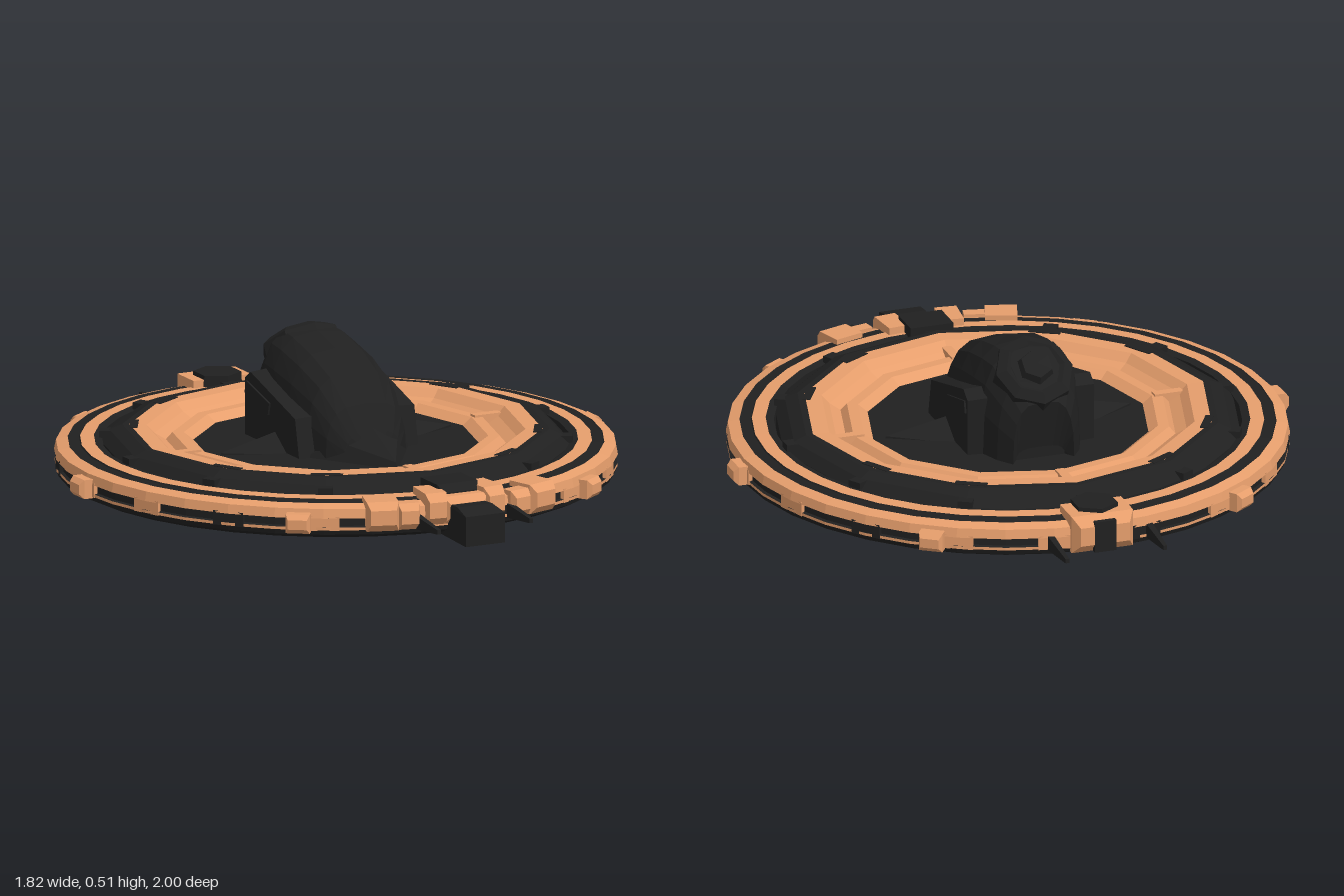
import * as THREE from 'three';
import { ConvexGeometry } from 'three/addons/geometries/ConvexGeometry.js';

const dark = new THREE.MeshStandardMaterial({ color: 0x202020 });
const copper = new THREE.MeshStandardMaterial({ color: 0xe69e6c });
dark.name = 'charcoal';
copper.name = 'copper';

// Faceted mesh with one normal per face
function mesh(name, geometry, material) {
  const g = geometry.index ? geometry.toNonIndexed() : geometry;
  g.computeVertexNormals();
  const m = new THREE.Mesh(g, material);
  m.name = name;
  return m;
}

// Revolved band; the profile runs counterclockwise (outer side going up)
function band(parent, name, material, sides, ...pts) {
  const profile = pts.map(([r, y]) => new THREE.Vector2(r, y));
  parent.add(mesh(name, new THREE.LatheGeometry(profile, sides), material));
}

function box(parent, name, material, w, h, d, x, y, z, ry = 0) {
  const m = mesh(name, new THREE.BoxGeometry(w, h, d), material);
  m.position.set(x, y, z);
  m.rotation.y = ry;
  parent.add(m);
  return m;
}

function hull(parent, name, material, pts) {
  const g = new ConvexGeometry(pts.map(p => new THREE.Vector3(...p)));
  parent.add(mesh(name, g, material));
}

// Chamfered clamp gripping the outer ring at an angle measured from +z
function clamp(parent, name, material, angle, r0, r1, width, y0, y1) {
  const holder = new THREE.Group();
  holder.name = name;
  holder.rotation.y = angle;
  const pts = [], w = width / 2, c = 0.25 * (y1 - y0);
  for (const s of [-1, 1]) {
    pts.push([s * w, y0, r0], [s * w, y1, r0], [s * w, y1, r1 - c],
      [s * w * 0.8, y1 - c, r1], [s * w * 0.8, y0 + c, r1], [s * w, y0, r1 - c]);
  }
  hull(holder, name + 'Body', material, pts);
  parent.add(holder);
}

function outerRing() {
  const g = new THREE.Group(), n = 36;
  g.name = 'outerRing';
  band(g, 'ringUnderside', dark, n, [0.722, 0.172], [0.718, 0.075], [0.83, 0.065], [0.862, 0.08], [0.868, 0.095]);
  band(g, 'lowerRim', copper, n, [0.868, 0.095], [0.868, 0.104]);
  band(g, 'rimGroove', dark, n, [0.868, 0.104], [0.858, 0.107], [0.858, 0.13], [0.87, 0.133]);
  band(g, 'upperRim', copper, n, [0.87, 0.133], [0.864, 0.162], [0.828, 0.172]);
  band(g, 'outerTrack', dark, n, [0.828, 0.172], [0.825, 0.17], [0.793, 0.172], [0.79, 0.176]);
  band(g, 'stripe', copper, n, [0.79, 0.176], [0.747, 0.178]);
  band(g, 'innerTrack', dark, n, [0.747, 0.178], [0.722, 0.172]);

  // Blocks spaced along the rim groove
  for (let i = 0; i < 18; i++) {
    const a = (i + 0.5) * Math.PI / 9;
    box(g, 'rimBlock', i % 3 ? copper : dark, 0.1, 0.045, 0.02,
      0.856 * Math.sin(a), 0.116, 0.856 * Math.cos(a), a);
  }
  // Small lugs
  for (const deg of [35, 90, 145, 215, 270, 325]) {
    clamp(g, 'lug', copper, deg * Math.PI / 180, 0.83, 0.908, 0.075, 0.09, 0.15);
  }
  return g;
}

function saucer() {
  const g = new THREE.Group(), n = 12;
  g.name = 'saucer';
  band(g, 'lowerHull', dark, n, [0.001, 0.03], [0.3, 0.026], [0.32, 0.036], [0.46, 0.032],
    [0.48, 0.042], [0.6, 0.025], [0.64, 0.033], [0.705, 0.07], [0.733, 0.12],
    [0.733, 0.165], [0.7, 0.195], [0.66, 0.212], [0.638, 0.212]);
  band(g, 'crown', copper, n, [0.638, 0.212], [0.585, 0.21],
    [0.56, 0.185], [0.525, 0.165], [0.505, 0.188], [0.47, 0.188], [0.44, 0.165]);
  band(g, 'floor', dark, n, [0.44, 0.165], [0.001, 0.165]);
  // Ribs across the crown channel, joints to the outer ring, and crown notches
  for (let i = 0; i < 12; i++) {
    const a = i * Math.PI / 6, s = Math.sin(a), c = Math.cos(a);
    if (i % 3 === 0) box(g, 'rib', copper, 0.03, 0.03, 0.11, 0.53 * s, 0.18, 0.53 * c, a);
    else box(g, 'crownNotch', dark, 0.1, 0.02, 0.025, 0.623 * s, 0.204, 0.623 * c, a);
    box(g, 'joint', dark, 0.045, 0.05, 0.06, 0.7 * s, 0.17, 0.7 * c, a);
  }
  // Small vents under the rear half
  for (const s of [-1, 1]) {
    const a = Math.PI + s * 0.64;
    box(g, 'vent', copper, 0.09, 0.009, 0.03, 0.52 * Math.sin(a), 0.034, 0.52 * Math.cos(a), a);
  }
  // Small nozzle beneath the centre
  band(g, 'nozzleSide', dark, 10, [0.05, 0], [0.068, 0.04]);
  band(g, 'nozzleCap', copper, 10, [0.001, 0], [0.05, 0]);
  return g;
}

// Pod body lofted through arched sections: z, half width, crest height
function podBody() {
  const sections = [[0.27, 0.04, 0.2], [0.245, 0.1, 0.25], [0.2, 0.14, 0.33], [0.12, 0.165, 0.41],
    [0, 0.175, 0.46], [-0.12, 0.175, 0.49], [-0.2, 0.165, 0.495], [-0.28, 0.135, 0.43],
    [-0.33, 0.1, 0.36], [-0.3, 0.08, 0.2]];
  const pos = [], idx = [], n = 10, base = 0.16;
  for (const [z, w, top] of sections) {
    for (let j = 0; j <= n; j++) {
      const t = Math.PI * j / n, c = Math.cos(t);
      pos.push(w * Math.sign(c) * Math.abs(c) ** 0.6,
        base + (top - base) * Math.max(0, Math.sin(t)) ** 0.75, z);
    }
  }
  for (let i = 0; i < sections.length - 1; i++) {
    for (let j = 0; j < n; j++) {
      const a = i * (n + 1) + j, b = a + n + 1;
      idx.push(a, b, a + 1, b, b + 1, a + 1);
    }
  }
  // End caps
  const last = (sections.length - 1) * (n + 1);
  for (let j = 1; j < n; j++) idx.push(0, j, j + 1, last, last + j + 1, last + j);
  const geo = new THREE.BufferGeometry();
  geo.setAttribute('position', new THREE.Float32BufferAttribute(pos, 3));
  geo.setIndex(idx);
  return mesh('podBody', geo, dark);
}

function pod() {
  const g = new THREE.Group();
  g.name = 'pod';
  g.add(podBody());
  for (const s of [-1, 1]) {
    // Cheek armour with a raised strip, and a low side fin
    const cheek = [];
    for (const [z, y] of [[0.16, 0.16], [0.13, 0.29], [-0.18, 0.375], [-0.22, 0.35], [-0.22, 0.16]]) {
      cheek.push([s * 0.13, y, z], [s * 0.207, y - 0.005, z * 0.96]);
    }
    hull(g, 'cheekArmour', dark, cheek);
    const strip = box(g, 'cheekStrip', dark, 0.02, 0.04, 0.16, s * 0.203, 0.3, -0.12);
    strip.rotation.x = 0.25;
    hull(g, 'sideFin', dark, [[s * 0.19, 0.16, -0.11], [s * 0.19, 0.16, 0.08],
      [s * 0.19, 0.22, -0.01], [s * 0.4, 0.16, 0], [s * 0.4, 0.172, 0]]);
  }
  // Pointed prow
  hull(g, 'prow', dark, [[-0.19, 0.16, 0.13], [0.19, 0.16, 0.13], [0, 0.28, 0.2],
    [-0.1, 0.22, 0.22], [0.1, 0.22, 0.22], [0, 0.16, 0.42], [0, 0.185, 0.4]]);
  // Tilted hatch at the rear of the crest
  const hatch = new THREE.Group();
  hatch.name = 'rearHatch';
  hatch.position.set(0, 0.418, -0.232);
  hatch.rotation.x = -0.65;
  band(hatch, 'hatchCollar', dark, 8, [0.13, -0.05], [0.125, 0.02], [0.095, 0.04], [0.08, 0.03], [0.001, 0.03]);
  band(hatch, 'hatchCap', dark, 6, [0.06, 0.03], [0.05, 0.055], [0.001, 0.06]);
  g.add(hatch);
  return g;
}

function endFittings() {
  const g = new THREE.Group();
  g.name = 'endFittings';
  // Front: snout in a collar, its mount, and paired clamps
  hull(g, 'snout', dark, [-1, 1].flatMap(s => [[s * 0.055, 0.055, 0.8], [s * 0.055, 0.16, 0.8],
    [s * 0.068, 0.055, 1], [s * 0.068, 0.15, 1], [s * 0.06, 0.165, 0.93]]));
  clamp(g, 'snoutCollar', copper, 0, 0.78, 0.885, 0.15, 0.1, 0.185);
  clamp(g, 'snoutMount', dark, 0, 0.7, 0.835, 0.14, 0.12, 0.212);
  for (const s of [-1, 1]) {
    clamp(g, 'innerClamp', copper, s * 0.115, 0.76, 0.89, 0.07, 0.1, 0.2);
    clamp(g, 'middleClamp', copper, s * 0.22, 0.84, 0.9, 0.07, 0.095, 0.178);
    clamp(g, 'outerClamp', copper, s * 0.315, 0.8, 0.91, 0.1, 0.095, 0.188);
  }
  // Back: wide clamp with a dark hub
  clamp(g, 'backClamp', copper, Math.PI, 0.76, 0.9, 0.2, 0.08, 0.2);
  const hub = mesh('backHub', new THREE.CylinderGeometry(0.074, 0.08, 0.1, 6), dark);
  hub.position.set(0, 0.163, -0.795);
  g.add(hub);
  box(g, 'backStrip', dark, 0.07, 0.1, 0.02, 0, 0.135, -0.892);
  // Thin prongs at both ends
  for (const x of [-0.16, 0.16]) {
    for (const s of [-1, 1]) {
      hull(g, 'prong', dark, [[x - 0.011, 0.09, s * 0.83], [x + 0.011, 0.09, s * 0.83],
        [x - 0.011, 0.14, s * 0.83], [x + 0.011, 0.14, s * 0.83],
        [x - 0.006, 0.106, s], [x + 0.006, 0.106, s], [x - 0.006, 0.12, s], [x + 0.006, 0.12, s]]);
    }
  }
  return g;
}

export function createModel() {
  const model = new THREE.Group();
  model.name = 'ringShip';
  model.add(outerRing(), saucer(), pod(), endFittings());
  return model;
}
